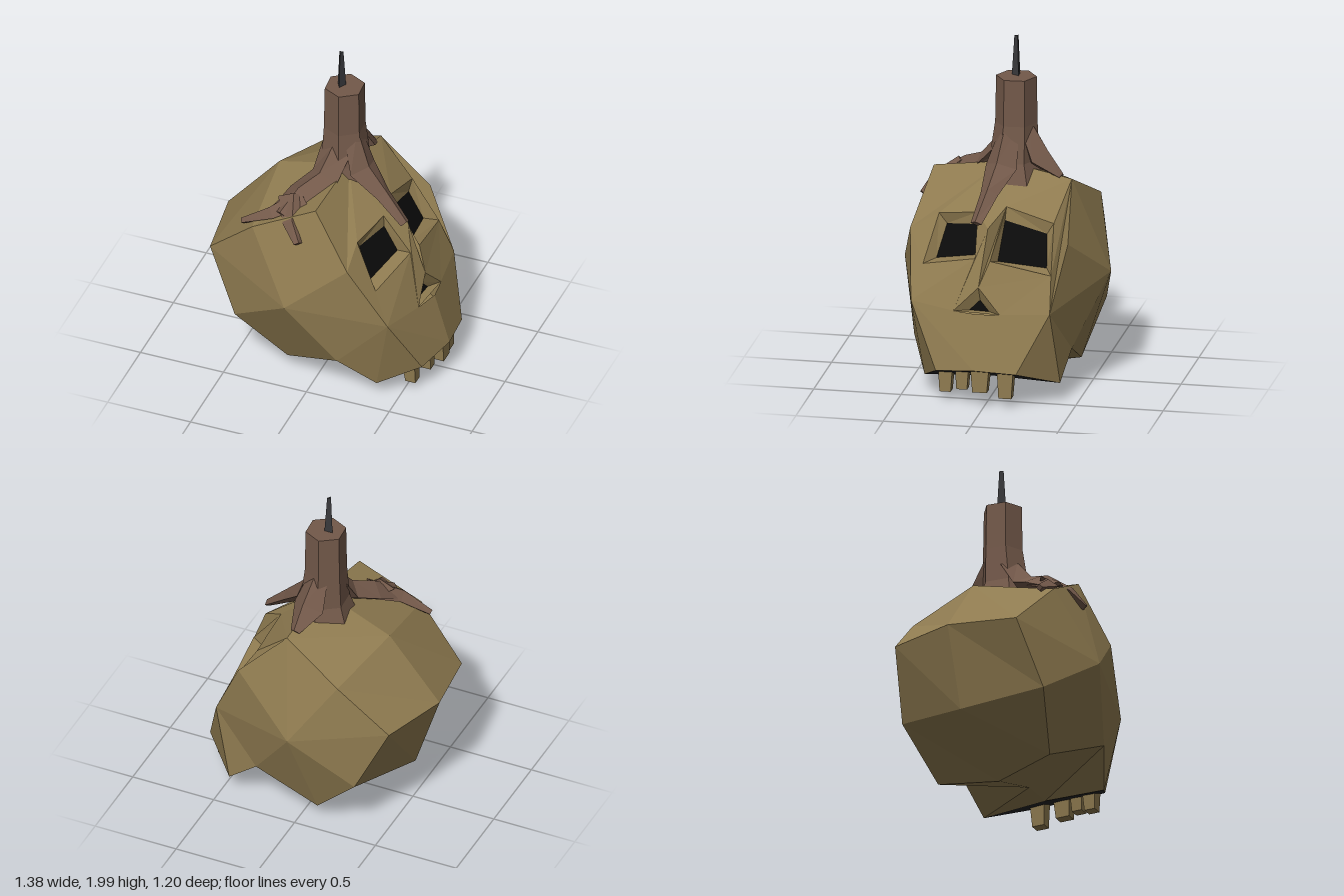
import * as THREE from 'three';

const mat = (color) => new THREE.MeshStandardMaterial({ color, flatShading: true, side: THREE.DoubleSide, roughness: 0.9 });
const SKIN = mat(0x8f7b50), BARK = mat(0x73594a), BLACK = mat(0x0b0b0b), DARK = mat(0x222225), WICK = mat(0x38383b);

// Faceted mesh from convex polygons, each a list of [x, y, z]
function facets(name, polys, material) {
  const pos = [];
  for (const p of polys)
    for (let i = 1; i < p.length - 1; i++) pos.push(...p[0], ...p[i], ...p[i + 1]);
  const g = new THREE.BufferGeometry();
  g.setAttribute('position', new THREE.Float32BufferAttribute(pos, 3));
  g.computeVertexNormals();
  const m = new THREE.Mesh(g, material);
  m.name = name;
  return m;
}

// Quads between neighbouring rings
function loft(rings, closed = true) {
  const polys = [];
  for (let r = 0; r < rings.length - 1; r++) {
    const A = rings[r], B = rings[r + 1], n = A.length;
    for (let i = 0; i < (closed ? n : n - 1); i++) {
      const j = (i + 1) % n;
      polys.push([A[i], A[j], B[j], B[i]]);
    }
  }
  return polys;
}

// Cranium outlines: top front, front, lower front, bottom, lower back, back, upper back, top
const LEFT = [[.02, 1.22, .41], [.245, .915, .5], [.47, .56, .45], [.18, .27, .49],
  [-.18, .1, .33], [-.46, .38, .43], [-.64, .75, .35], [-.35, 1.03, .44]];
const MID = [[.06, 1.28, 0], [.42, .99, .02], [.59, .56, .05], [.22, .13, 0],
  [-.16, .01, 0], [-.54, .31, -.05], [-.69, .77, -.055], [-.38, 1.14, -.05]];
const RIGHT = [[.095, 1.21, -.395], [.38, .915, -.43], [.55, .55, -.36], [.27, .27, -.43],
  [-.1, .1, -.41], [-.37, .38, -.5], [-.56, .77, -.45], [-.26, 1.03, -.49]];
const LIP = [[.61, .2, .28], [.685, .235, .05], [.665, .22, -.19]];
const JAW = [[.38, .1, .39], [.42, .13, 0], [.45, .12, -.4]];

// Face columns run from the brow to the lip
const COLUMNS = [LEFT, MID, RIGHT].map((c, i) => [c[0], c[1], c[2], LIP[i]]);
function along(column, y) {
  let i = 0;
  while (i < 2 && y < column[i + 1][1]) i++;
  const a = column[i], b = column[i + 1];
  const t = THREE.MathUtils.clamp((a[1] - y) / (a[1] - b[1]), 0, 1);
  return [a[0] + (b[0] - a[0]) * t, a[2] + (b[2] - a[2]) * t];
}
// Point on the face surface at (z, y), pushed in by depth
function onFace(z, y, depth = 0) {
  const [xc, zc] = along(COLUMNS[1], y);
  const [xs, zs] = along(COLUMNS[z > zc ? 0 : 2], y);
  const t = Math.min(1, Math.abs((z - zc) / (zs - zc)));
  return [xc + (xs - xc) * t - depth, y, z];
}

// Sockets as [z, y] rims and floors
const EYES = [
  { name: 'leftEye', rim: [[.1, 1.05], [.335, 1.01], [.4, .75], [.085, .825]],
    floor: [[.1, .98], [.29, .95], [.335, .77], [.09, .825]] },
  { name: 'rightEye', rim: [[-.06, 1.085], [-.335, 1.01], [-.35, .75], [-.005, .82]],
    floor: [[-.055, 1.01], [-.295, .945], [-.31, .77], [-.035, .8]] },
];
const NOSE = { name: 'nose', rim: [[.05, .68], [.19, .54], [-.08, .54]],
  floor: [[.045, .6], [.105, .54], [-.01, .54]] };

// Half of the face with its eye opening and half of the nose notch
function faceHalf(name, side, eye) {
  const edge = COLUMNS[side ? 2 : 0].map((p) => [p[2], p[1]]);
  const outline = [[0, 1.28], ...edge, [.05, .235], [.05, .54], NOSE.rim[side ? 2 : 1], NOSE.rim[0], [.02, .99]];
  const v2 = (list) => list.map(([z, y]) => new THREE.Vector2(-z, y));
  const shape = new THREE.Shape(v2(outline));
  shape.holes.push(new THREE.Path(v2(eye.rim)));
  const g = new THREE.ShapeGeometry(shape).toNonIndexed(), p = g.attributes.position;
  for (let i = 0; i < p.count; i++) p.setXYZ(i, ...onFace(-p.getX(i), p.getY(i)));
  g.computeVertexNormals();
  const m = new THREE.Mesh(g, SKIN);
  m.name = name;
  return m;
}

function socket({ name, rim, floor }, depth) {
  const g = new THREE.Group();
  g.name = name;
  const inner = floor.map(([z, y]) => onFace(z, y, depth));
  g.add(facets(name + 'Wall', loft([rim.map(([z, y]) => onFace(z, y)), inner]), SKIN));
  g.add(facets(name + 'Floor', [inner], BLACK));
  return g;
}

// Root with a diamond section; each point is [x, y, z, half width, half height]
function root(name, pts) {
  const P = pts.map((p) => new THREE.Vector3(p[0], p[1], p[2]));
  const rings = pts.map((p, i) => {
    const dir = P[Math.min(i + 1, P.length - 1)].clone().sub(P[Math.max(i - 1, 0)]).normalize();
    const side = new THREE.Vector3(0, 1, 0).cross(dir).normalize();
    const up = dir.clone().cross(side);
    return [[1, 0], [0, 1], [-1, 0], [0, -1]].map(([a, b]) =>
      P[i].clone().addScaledVector(side, a * p[3]).addScaledVector(up, b * p[4]).toArray());
  });
  return facets(name, [...loft(rings), rings[0], rings[rings.length - 1]], BARK);
}

export function createModel() {
  const model = new THREE.Group();
  model.name = 'carvedHead';

  // Cranium: two domed sides joined by strips around the back
  const polys = [];
  const cl = [-.095, .64, .6], cr = [0, .65, -.6];
  for (let i = 0; i < 8; i++) {
    const j = (i + 1) % 8;
    polys.push([cl, LEFT[j], LEFT[i]], [cr, RIGHT[i], RIGHT[j]]);
    if (i > 2) polys.push([LEFT[i], LEFT[j], MID[j], MID[i]], [MID[i], MID[j], RIGHT[j], RIGHT[i]]);
  }
  // Jaw sides and underside
  polys.push([LEFT[2], LEFT[3], JAW[0], LIP[0]], [RIGHT[2], LIP[2], JAW[2], RIGHT[3]]);
  polys.push(...loft([[LEFT[3], MID[3], RIGHT[3]], JAW], false).map((q) => q.reverse()).map((q) => q.reverse()));
  model.add(facets('cranium', polys, SKIN));
  model.add(facets('mouth', loft([JAW, LIP], false), DARK));

  // Face
  model.add(faceHalf('faceLeft', 0, EYES[0]), faceHalf('faceRight', 1, EYES[1]));
  EYES.forEach((e) => model.add(socket(e, .075)));
  model.add(socket(NOSE, .06));

  // Teeth: tapered blocks hanging from the lip [x, z, top, bottom, half width]
  [[.535, .235, .19, .065, .04], [.585, .13, .22, .1, .038], [.625, .02, .23, .1, .052], [.6, -.12, .22, .065, .046]]
    .forEach(([x, z, top, bottom, w], i) => {
      const ring = (y, s, dx) => [[1, 1], [1, -1], [-1, -1], [-1, 1]].map(([a, b]) => [x + dx + a * .038 * s, y, z + b * w * s]);
      const lo = ring(bottom, .8, 0), hi = ring(top, 1, -.01);
      model.add(facets('tooth' + (i + 1), [...loft([lo, hi]), lo, hi], SKIN));
    });

  // Stem: six-sided, flaring towards the head
  const stem = [[1.77, .01, -.06, .115], [1.5, .01, -.06, .12], [1.29, .02, -.05, .14], [1.15, .02, -.05, .19]].map(([y, x, z, r]) =>
    Array.from({ length: 6 }, (_, i) => {
      const a = i * Math.PI / 3 + .45;
      return [x + r * Math.cos(a), y, z + r * Math.sin(a)];
    }));
  model.add(facets('stem', [...loft(stem), [...stem[0]].reverse()], BARK));

  // Roots gripping the head
  model.add(root('backRoot', [[.02, 1.5, -.11, .06, .04], [.05, 1.31, -.2, .1, .07], [.075, 1.215, -.33, .03, .02]]));
  model.add(root('faceRoot', [[.06, 1.5, -.04, .06, .05], [.14, 1.27, 0, .1, .06], [.28, 1.15, .04, .055, .04], [.43, 1.02, .085, .035, .02]]));
  model.add(root('sideRoot', [[-.01, 1.38, .01, .1, .05], [-.04, 1.24, .12, .1, .06], [-.13, 1.18, .24, .1, .06], [-.19, 1.1, .38, .1, .05]]));
  model.add(root('sideRootBackFork', [[-.12, 1.18, .25, .1, .05], [-.26, 1.1, .36, .06, .04], [-.43, 1.015, .39, .02, .02]]));
  model.add(root('sideRootFrontFork', [[-.16, 1.18, .28, .09, .05], [-.12, 1.1, .42, .05, .04], [-.055, 1.025, .49, .025, .02]]));

  // Wick
  const wick = new THREE.Mesh(new THREE.CylinderGeometry(.014, .03, .25, 3), WICK);
  wick.name = 'wick';
  wick.position.set(-.012, 1.875, -.058);
  model.add(wick);

  return model;
}
